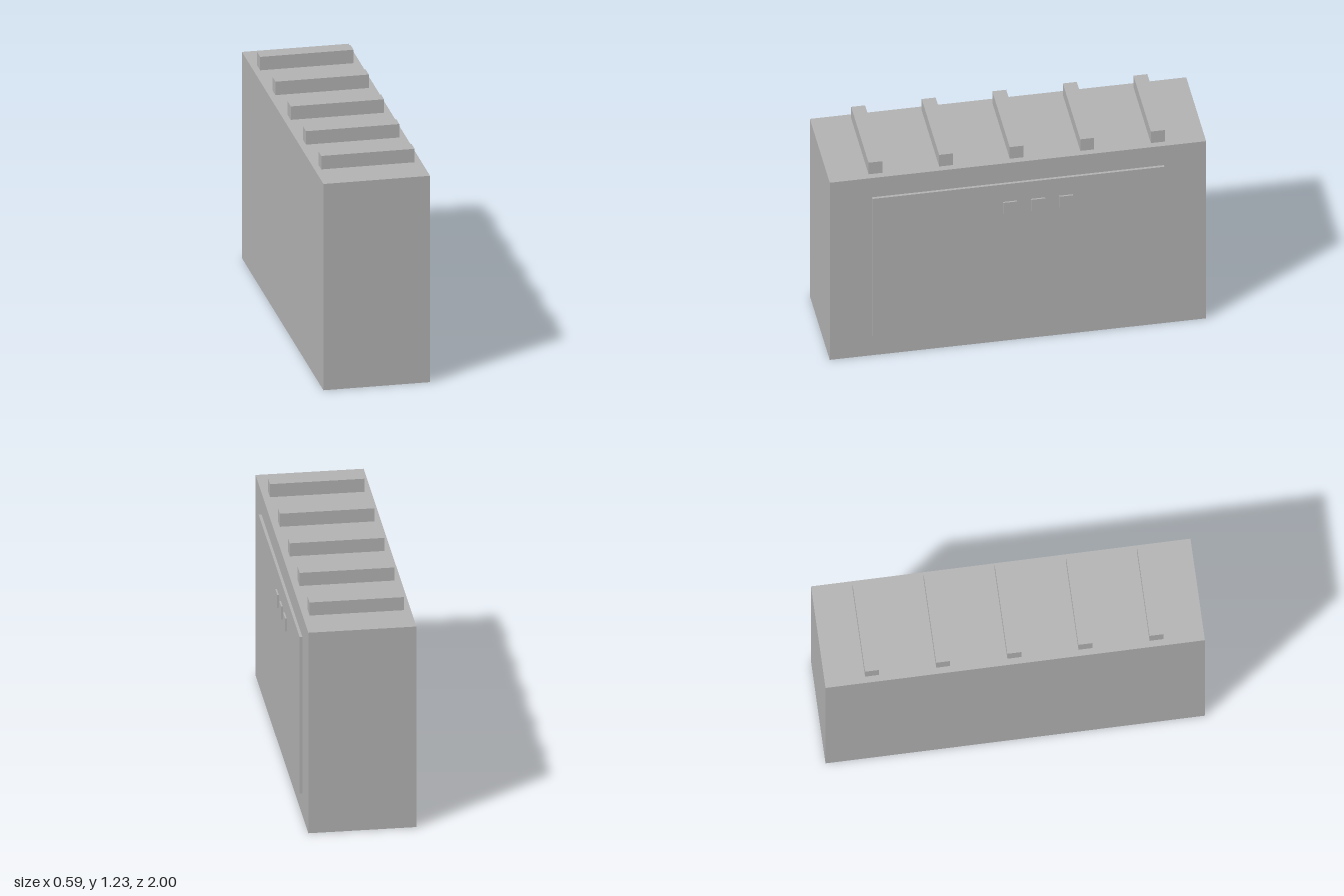
import * as THREE from 'three';

export function createModel() {
  const model = new THREE.Group();
  const grey = new THREE.MeshStandardMaterial({ color: 0xb2b2b2 });
  grey.name = 'plain grey';

  // Box given by its minimum and maximum corners
  function box(name, [x0, y0, z0], [x1, y1, z1]) {
    const mesh = new THREE.Mesh(new THREE.BoxGeometry(x1 - x0, y1 - y0, z1 - z0), grey);
    mesh.position.set((x0 + x1) / 2, (y0 + y1) / 2, (z0 + z1) / 2);
    mesh.name = name;
    model.add(mesh);
  }

  const side = 0.273, top = 1.152, panelFace = 0.288;

  // Main cabinet
  box('cabinet', [-0.297, 0, -1], [side, top, 1]);

  // Raised panel on the left side
  box('sidePanel', [side - 0.01, 0.127, -0.775], [panelFace, 1.027, 0.775]);

  // Row of square buttons near the top of the panel
  [-0.253, -0.104, 0.045].forEach((z, i) =>
    box(`button${i + 1}`, [panelFace - 0.01, 0.84, z - 0.037], [0.297, 0.914, z + 0.037]));

  // Five cross bars on the roof
  for (let i = -2; i <= 2; i++) {
    const z = i * 0.375;
    box(`roofBar${i + 3}`, [-0.262, top - 0.01, z - 0.037], [0.237, 1.227, z + 0.037]);
  }

  return model;
}
